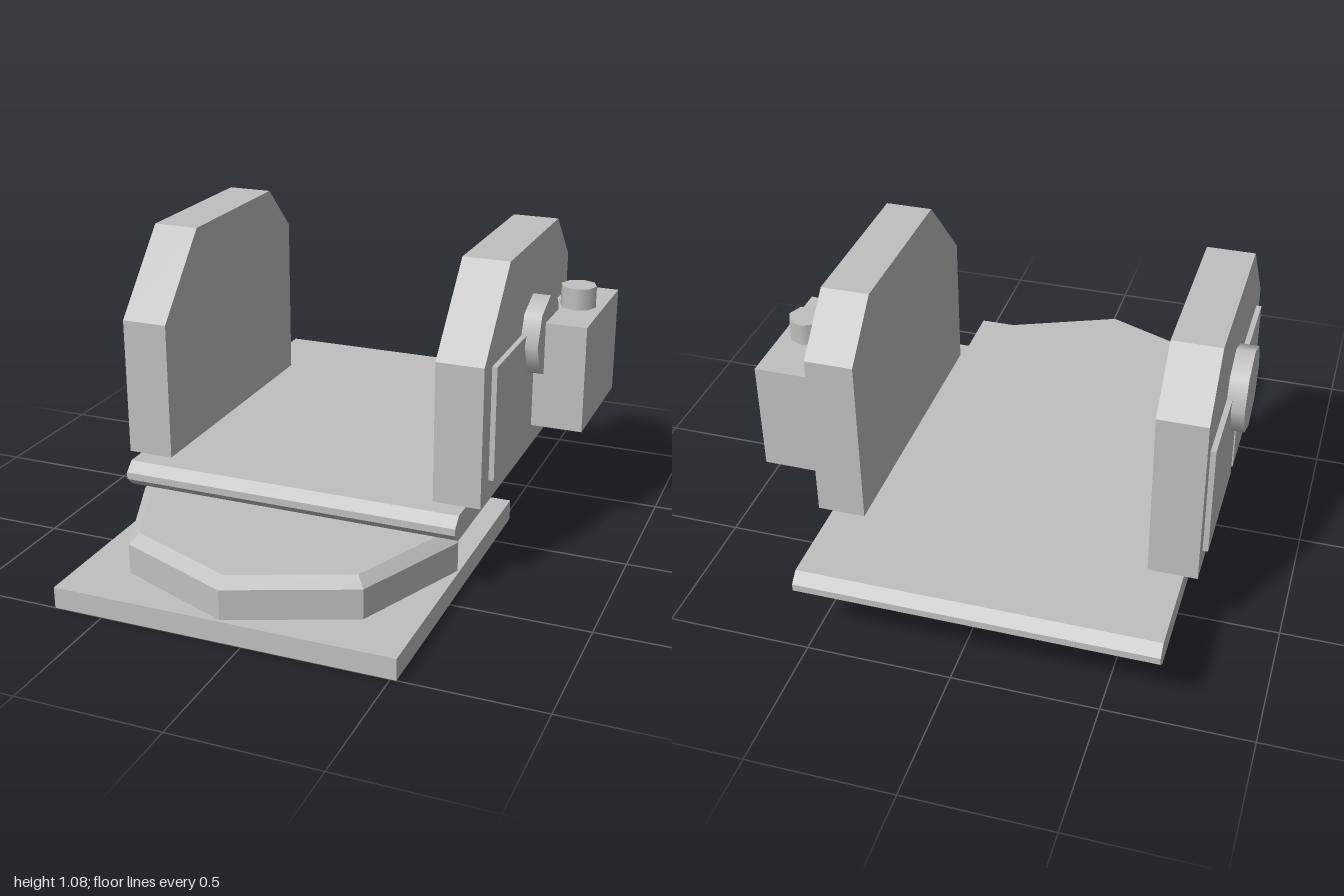
import * as THREE from 'three';

export function createModel() {
  const model = new THREE.Group();
  model.name = 'cradleMount';
  const grey = new THREE.MeshStandardMaterial({ name: 'plain grey', color: 0xc0c0c0 });
  const greyFlat = grey; // one colour throughout

  const add = (name, geometry, material = grey) => {
    const mesh = new THREE.Mesh(geometry, material);
    mesh.name = name;
    model.add(mesh);
    return mesh;
  };

  // Box given by its limits on each axis
  const box = (name, [x0, x1], [y0, y1], [z0, z1]) => {
    const g = new THREE.BoxGeometry(x1 - x0, y1 - y0, z1 - z0);
    g.translate((x0 + x1) / 2, (y0 + y1) / 2, (z0 + z1) / 2);
    return add(name, g);
  };

  // Side profile in (z, y), extruded along x
  const slab = (name, profile, x0, x1) => {
    const shape = new THREE.Shape(profile.map(([z, y]) => new THREE.Vector2(-z, y)));
    const g = new THREE.ExtrudeGeometry(shape, { depth: x1 - x0, bevelEnabled: false });
    g.rotateY(Math.PI / 2);
    g.translate(x0, 0, 0);
    return add(name, g);
  };

  // Square foot
  box('basePlate', [-0.675, 0.52], [0, 0.075], [-0.195, 1]);

  // Octagonal turntable with a chamfered rim
  const octagon = (name, rTop, rBottom, y0, y1) => {
    const g = new THREE.CylinderGeometry(rTop, rBottom, y1 - y0, 8).toNonIndexed();
    g.computeVertexNormals();
    g.translate(-0.077, (y0 + y1) / 2, 0.4);
    return add(name, g, greyFlat);
  };
  octagon('turntable', 0.59, 0.59, 0.075, 0.18);
  octagon('turntableChamfer', 0.552, 0.59, 0.18, 0.215);

  // Deck with bevelled front and back edges
  slab('deck', [
    [0.455, 0.215], [0.49, 0.247], [0.49, 0.272], [0.455, 0.305],
    [-0.965, 0.305], [-1, 0.272], [-1, 0.247], [-0.965, 0.215],
  ], -0.685, 0.53);

  // Upright cheeks with clipped upper corners
  const cheek = [
    [0.383, 0.305], [0.383, 0.797], [0.127, 1.08],
    [-0.475, 1.08], [-0.65, 0.905], [-0.65, 0.305],
  ];
  slab('rightCheek', cheek, -0.73, -0.565);
  slab('leftCheek', cheek, 0.415, 0.58);

  // Raised panels on the outer faces
  box('leftPanel', [0.58, 0.598], [0.375, 0.775], [-0.122, 0.3]);
  box('rightFrontPanel', [-0.748, -0.73], [0.375, 0.775], [-0.125, 0.3]);
  box('rightRearPanel', [-0.748, -0.73], [0.375, 0.775], [-0.59, -0.165]);

  // Eight-sided pivot caps
  const pivot = (name, x0, x1) => {
    const g = new THREE.CylinderGeometry(0.147, 0.147, x1 - x0, 8);
    g.rotateZ(Math.PI / 2);
    g.translate((x0 + x1) / 2, 0.74, -0.17);
    return add(name, g);
  };
  pivot('rightPivot', -0.793, -0.73);
  pivot('leftPivot', 0.58, 0.643);

  // Control box with a knob on top
  box('controlBox', [0.606, 0.788], [0.418, 0.802], [-0.595, -0.118]);
  const knob = new THREE.CylinderGeometry(0.064, 0.064, 0.078, 8);
  knob.translate(0.697, 0.84, -0.355);
  add('controlKnob', knob);

  return model;
}
